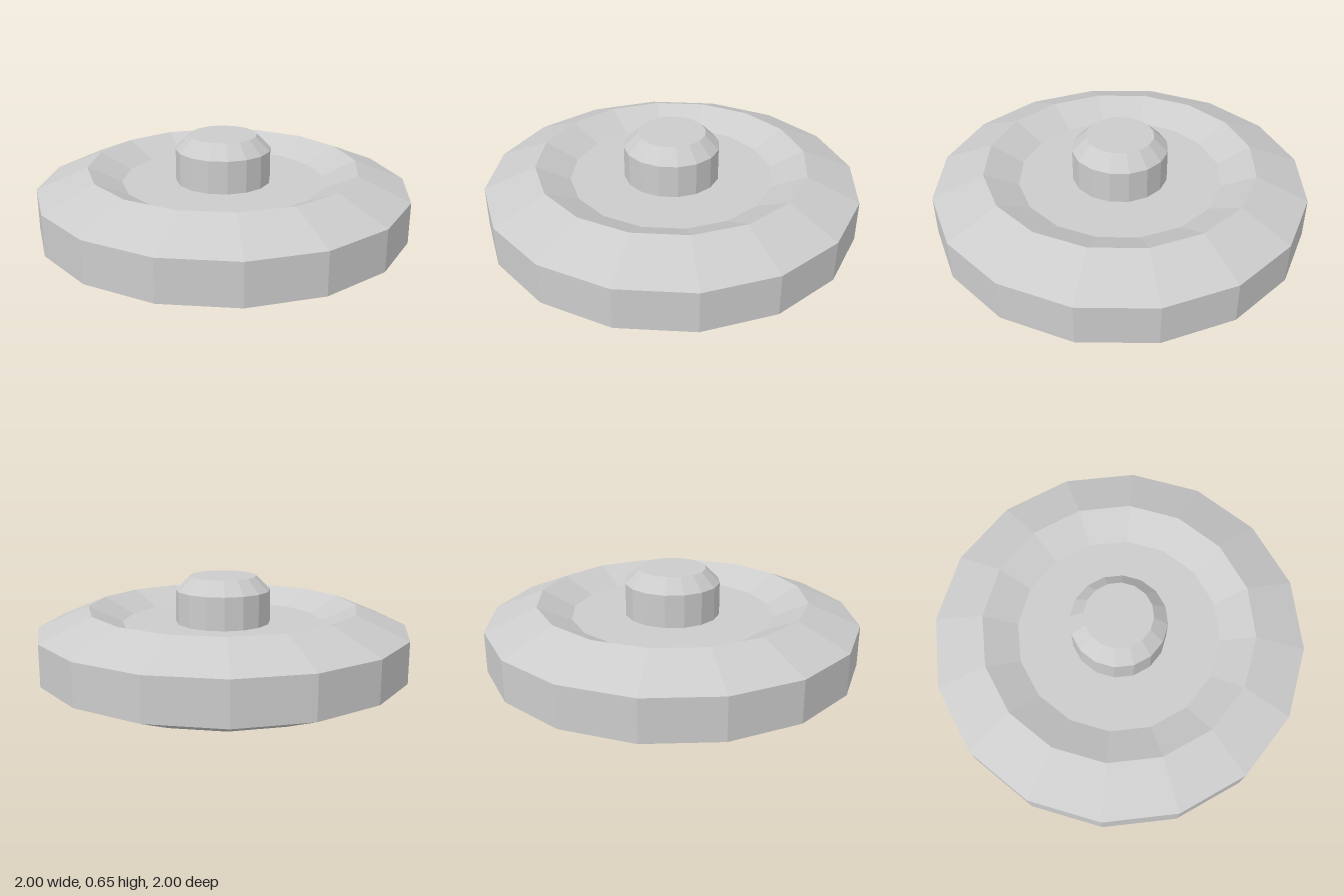
import * as THREE from 'three';

const SIDES = 16;
const material = new THREE.MeshStandardMaterial({ color: 0xcccccc, flatShading: true });

// Faceted ring turned from [radius, height] pairs, listed bottom to top
function turned(name, profile) {
  const points = profile.map(([r, y]) => new THREE.Vector2(r, y));
  const mesh = new THREE.Mesh(new THREE.LatheGeometry(points, SIDES), material);
  mesh.name = name;
  return mesh;
}

// Toothed plate: every second segment of the polygon reaches the outer radius
function toothedPlate(inner, outer, height) {
  const shape = new THREE.Shape();
  const at = (r, i) => {
    const a = (i / SIDES) * Math.PI * 2;
    return [r * Math.sin(a), -r * Math.cos(a)];
  };
  shape.moveTo(...at(inner, 0));
  for (let i = 0; i < SIDES; i += 2) {
    shape.lineTo(...at(outer, i));
    shape.lineTo(...at(outer, i + 1));
    shape.lineTo(...at(inner, i + 1));
    if (i + 2 < SIDES) shape.lineTo(...at(inner, i + 2));
  }
  shape.closePath();
  const geometry = new THREE.ExtrudeGeometry(shape, { depth: height, bevelEnabled: false });
  geometry.rotateX(-Math.PI / 2);
  const mesh = new THREE.Mesh(geometry, material);
  mesh.name = 'toothedBase';
  return mesh;
}

export function createModel() {
  const group = new THREE.Group();
  group.name = 'wheel';

  // Rim with bevelled shoulders and a dished floor on both faces
  group.add(turned('rim', [
    [0.25, 0.12], [0.545, 0.12], [0.725, 0.035], [1, 0.15],
    [1, 0.37], [0.725, 0.485], [0.545, 0.4], [0.255, 0.4],
  ]));

  // Chamfered central hub
  group.add(turned('hub', [[0.255, 0.4], [0.255, 0.575], [0.18, 0.65], [0, 0.65]]));

  // Eight teeth around a solid centre on the underside
  group.add(toothedPlate(0.26, 0.545, 0.12));

  return group;
}
